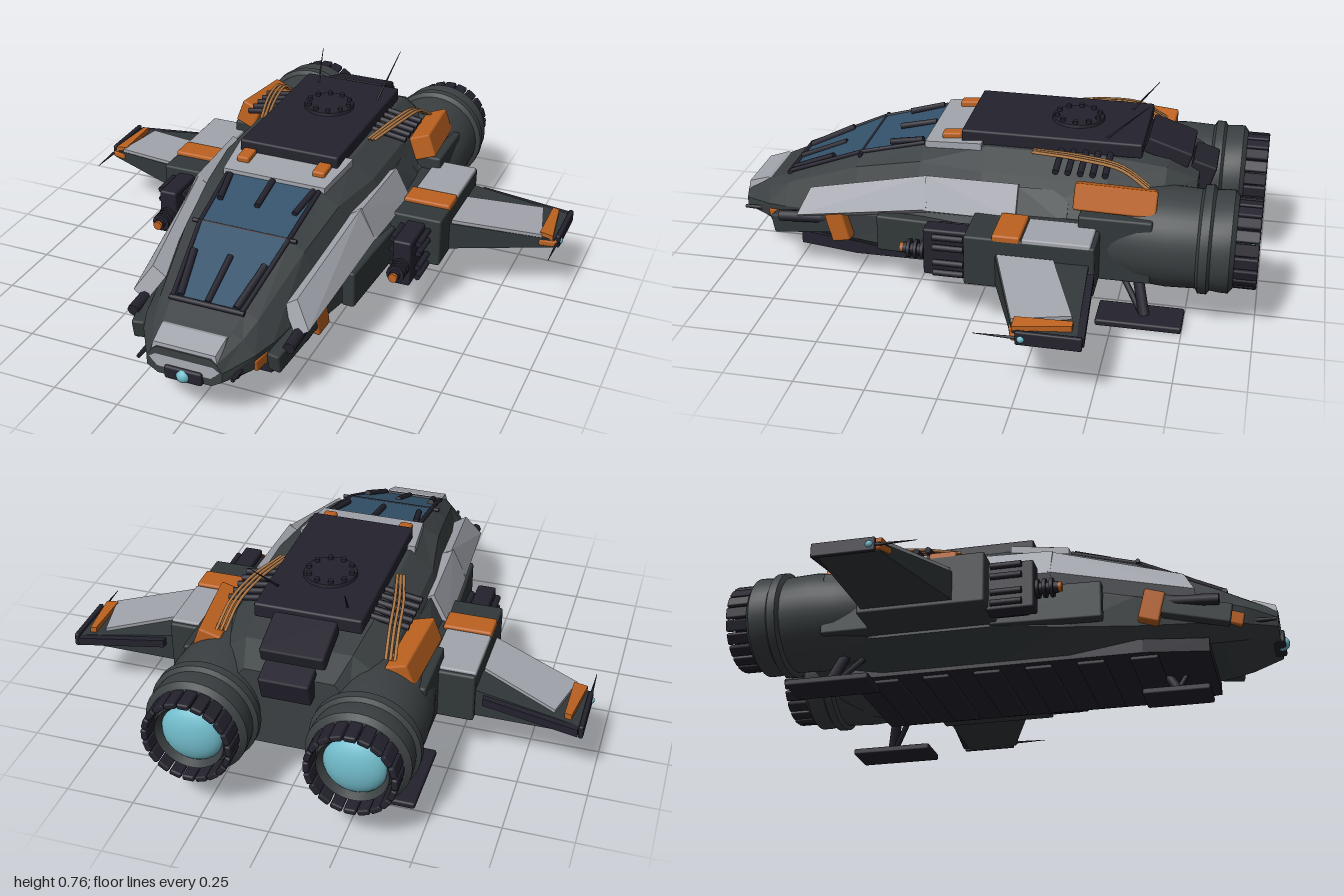
import * as THREE from 'three';
import { toCreasedNormals } from 'three/addons/utils/BufferGeometryUtils.js';
import { RoundedBoxGeometry } from 'three/addons/geometries/RoundedBoxGeometry.js';
import { ConvexGeometry } from 'three/addons/geometries/ConvexGeometry.js';

const mat = (name, color) => Object.assign(new THREE.MeshStandardMaterial({ color }), { name });
const V = (p) => new THREE.Vector3(...p);

export function createModel() {
  const root = new THREE.Group();
  root.name = 'spacecraft';
  const hullGrey = mat('hull grey', 0x3b4042);
  const wingGrey = mat('wing grey', 0x32383a);
  const black = mat('dark violet black', 0x24232e);
  const armour = mat('light armour', 0xa3a5ad);
  const orange = mat('orange', 0xbd6220);
  const glass = mat('canopy glass', 0x35536c);
  const cyan = mat('cyan glow', 0x72bccb);
  const tan = mat('tan cable', 0xb47d4a);

  const add = (name, geo, material) => {
    const m = new THREE.Mesh(geo, material);
    m.name = name;
    root.add(m);
    return m;
  };
  // chamfered box: size, position, rotation
  const box = (name, m, size, pos, rot = [0, 0, 0]) => {
    const o = add(name, new RoundedBoxGeometry(...size, 1, Math.min(0.008, Math.min(...size) * 0.3)), m);
    o.position.set(...pos);
    o.rotation.set(...rot);
    return o;
  };
  // solid spanned by a face and its offset copy
  const slab = (name, m, pts, off) =>
    add(name, new ConvexGeometry([...pts.map(V), ...pts.map((p) => V(p).add(V(off)))]), m);
  // rod between two points, optionally tapered
  const bar = (name, m, a, b, r, r2 = r, sides = 8) => {
    const d = V(b).sub(V(a));
    const o = add(name, new THREE.CylinderGeometry(r2, r, d.length(), sides), m);
    o.position.copy(V(a)).addScaledVector(d, 0.5);
    o.quaternion.setFromUnitVectors(new THREE.Vector3(0, 1, 0), d.normalize());
    return o;
  };

  // Fuselage: faceted sections, each listed from keel to roof as x, y pairs
  const sections = [
    [0.97, 0.10, 0.16, 0.14, 0.185, 0.14, 0.22, 0.12, 0.25, 0.10, 0.265],
    [0.86, 0.15, 0.14, 0.20, 0.18, 0.21, 0.24, 0.165, 0.29, 0.125, 0.31],
    [0.78, 0.17, 0.13, 0.23, 0.18, 0.24, 0.25, 0.185, 0.325, 0.135, 0.345],
    [0.49, 0.22, 0.11, 0.29, 0.17, 0.30, 0.28, 0.23, 0.44, 0.175, 0.47],
    [0.24, 0.25, 0.10, 0.34, 0.17, 0.345, 0.30, 0.26, 0.50, 0.19, 0.535],
    [0.0, 0.25, 0.10, 0.38, 0.18, 0.38, 0.32, 0.30, 0.50, 0.21, 0.56],
    [-0.45, 0.25, 0.10, 0.38, 0.18, 0.39, 0.32, 0.30, 0.50, 0.21, 0.56],
    [-0.65, 0.24, 0.13, 0.35, 0.20, 0.35, 0.32, 0.26, 0.48, 0.19, 0.53],
    [-0.76, 0.20, 0.18, 0.26, 0.24, 0.26, 0.32, 0.21, 0.42, 0.16, 0.48],
  ];
  const rings = sections.map(([z, ...c]) => {
    const half = [0, 1, 2, 3, 4].map((i) => [c[2 * i], c[2 * i + 1], z]);
    return [...half, ...half.map(([x, y]) => [-x, y, z]).reverse()];
  });
  const tri = [];
  for (let k = 0; k < rings.length - 1; k++) {
    for (let i = 0; i < 10; i++) {
      const j = (i + 1) % 10, A = rings[k], B = rings[k + 1];
      tri.push(...A[i], ...B[i], ...B[j], ...A[i], ...B[j], ...A[j]);
    }
  }
  const front = rings[0], back = rings[rings.length - 1];
  for (let i = 1; i < 9; i++) {
    tri.push(...front[0], ...front[i], ...front[i + 1], ...back[0], ...back[i + 1], ...back[i]);
  }
  const hull = new THREE.BufferGeometry();
  hull.setAttribute('position', new THREE.Float32BufferAttribute(tri, 3));
  hull.computeVertexNormals();
  add('fuselage', hull, hullGrey);

  // Belly plate with cross ribs
  slab('bellyPlate', black, [[-0.21, 0.085, 0.73], [0.21, 0.085, 0.73], [0.25, 0.085, 0.5], [0.25, 0.085, -0.58], [-0.25, 0.085, -0.58], [-0.25, 0.085, 0.5]], [0, 0.05, 0]);
  for (let i = 0; i < 6; i++) box('bellyRib', black, [0.44, 0.02, 0.1], [0, 0.082, 0.5 - i * 0.19]);

  // Canopy: two panes, frame bars and wipers
  slab('lowerPane', glass, [[-0.125, 0.348, 0.785], [0.125, 0.348, 0.785], [0.165, 0.478, 0.49], [-0.165, 0.478, 0.49]], [0, -0.009, -0.003]);
  slab('upperPane', glass, [[-0.165, 0.478, 0.485], [0.165, 0.478, 0.485], [0.175, 0.543, 0.24], [-0.175, 0.543, 0.24]], [0, -0.009, 0]);
  bar('canopySeam', black, [-0.2, 0.472, 0.488], [0.2, 0.472, 0.488], 0.008);
  bar('canopySill', black, [-0.14, 0.345, 0.79], [0.14, 0.345, 0.79], 0.01);
  bar('lowerWiper', black, [0, 0.352, 0.785], [0, 0.43, 0.6], 0.012);
  bar('upperWiper', black, [0, 0.515, 0.38], [0, 0.547, 0.24], 0.012);

  // Roof: collar, equipment slab, round hatch, rear flaps
  slab('roofCollar', armour, [[-0.2, 0.555, 0.235], [0.2, 0.555, 0.235], [0.225, 0.575, 0.02], [-0.225, 0.575, 0.02]], [0, -0.04, 0]);
  box('roofSlab', black, [0.39, 0.055, 0.66], [0, 0.583, -0.23]);
  bar('hatch', black, [0, 0.6, -0.3], [0, 0.622, -0.3], 0.1, 0.095, 24);
  for (let i = 0; i < 10; i++) {
    const a = (i * Math.PI) / 5;
    bar('hatchBolt', black, [0.08 * Math.cos(a), 0.61, -0.3 + 0.08 * Math.sin(a)], [0.08 * Math.cos(a), 0.634, -0.3 + 0.08 * Math.sin(a)], 0.01);
  }
  box('rearFlap', black, [0.23, 0.06, 0.17], [0, 0.55, -0.645], [-0.32, 0, 0]);
  box('tailBlock', black, [0.18, 0.1, 0.09], [0, 0.46, -0.765], [-0.3, 0, 0]);
  bar('antenna', black, [-0.12, 0.6, -0.48], [-0.14, 0.72, -0.58], 0.005, 0.001);
  bar('antenna', black, [0.15, 0.6, -0.42], [0.19, 0.76, -0.58], 0.005, 0.001);

  // Nose: armour cap, sensor housing and lamp
  slab('noseCap', armour, [[-0.1, 0.19, 0.975], [0.1, 0.19, 0.975], [0.13, 0.22, 0.97], [0.115, 0.28, 0.965], [0.12, 0.305, 0.89], [-0.12, 0.305, 0.89], [-0.115, 0.28, 0.965], [-0.13, 0.22, 0.97]], [0, -0.01, -0.05]);
  box('sensorHousing', black, [0.14, 0.05, 0.06], [0, 0.18, 0.955]);
  const lamp = add('noseLamp', new THREE.SphereGeometry(0.026, 16, 12), cyan);
  lamp.position.set(0, 0.178, 0.974);

  // Front landing leg
  box('frontFoot', black, [0.145, 0.025, 0.245], [0, 0.0125, 0.59]);
  bar('frontLeg', black, [0, 0.1, 0.55], [0, 0.02, 0.6], 0.018);
  bar('frontStrut', black, [0, 0.1, 0.63], [0, 0.02, 0.58], 0.01);

  // Engine profile as radius, distance aft
  const engineProfile = [[0.08, 0.32], [0.15, 0.45], [0.175, 0.58], [0.182, 0.68], [0.178, 0.785], [0.195, 0.795], [0.195, 0.825], [0.18, 0.835], [0.184, 0.87], [0.184, 0.9], [0.165, 0.915], [0.135, 0.92], [0.125, 0.965], [0.1, 0.92], [0, 0.92]];
  const engineGeo = toCreasedNormals(new THREE.LatheGeometry(engineProfile.map((p) => new THREE.Vector2(...p)), 40), 0.5);
  engineGeo.rotateX(-Math.PI / 2);

  for (const s of [1, -1]) {
    const P = (...pts) => pts.map(([x, y, z]) => [s * x, y, z]);
    const rod = (name, m, a, b, ...r) => bar(name, m, ...P(a, b), ...r);
    const block = (name, m, size, [x, y, z], [rx, ry, rz] = [0, 0, 0]) => box(name, m, size, [s * x, y, z], [rx, s * ry, s * rz]);

    // Engine with nozzle petals and glowing dome
    add('engine', engineGeo, hullGrey).position.set(s * 0.285, 0.31, 0);
    for (let i = 0; i < 20; i++) {
      const a = (i * Math.PI) / 10;
      box('nozzlePetal', black, [0.043, 0.022, 0.1], [s * 0.285 + 0.15 * Math.cos(a), 0.31 + 0.15 * Math.sin(a), -0.948], [0, 0, a - Math.PI / 2]);
    }
    const ring = add('nozzleRing', new THREE.CylinderGeometry(0.138, 0.138, 0.06, 32, 1, true), black);
    ring.rotation.x = Math.PI / 2;
    ring.position.set(s * 0.285, 0.31, -0.94);
    const dome = add('engineGlow', new THREE.SphereGeometry(0.112, 28, 16), cyan);
    dome.scale.z = 0.5;
    dome.position.set(s * 0.285, 0.31, -0.925);
    block('enginePylon', wingGrey, [0.1, 0.24, 0.26], [0.39, 0.31, -0.5]);

    // Side armour
    slab('frontSideArmour', armour, P([0.335, 0.27, 0.7], [0.275, 0.36, 0.66], [0.325, 0.48, 0.19], [0.385, 0.37, 0.19]), [s * -0.05, -0.035, 0]);
    slab('rearSideArmour', armour, P([0.385, 0.365, 0.2], [0.33, 0.48, 0.2], [0.34, 0.485, -0.14], [0.4, 0.37, -0.14]), [s * -0.05, -0.03, 0]);
    slab('shoulderWedge', hullGrey, P([0.385, 0.36, -0.14], [0.33, 0.47, -0.14], [0.31, 0.46, -0.32], [0.38, 0.36, -0.32]), [s * -0.05, -0.03, 0]);
    block('sideSkirt', wingGrey, [0.05, 0.14, 0.4], [0.36, 0.25, 0.18], [0, -0.05, 0]);
    block('roofPad', orange, [0.05, 0.025, 0.075], [0.15, 0.572, 0.14], [0.08, 0, 0]);
    block('rearPod', orange, [0.085, 0.095, 0.29], [0.36, 0.47, -0.49], [-0.06, 0.08, 0.35]);

    // Cheek equipment
    block('cheekBox', wingGrey, [0.05, 0.075, 0.26], [0.275, 0.215, 0.69], [0.18, -0.16, 0]);
    block('cheekBand', orange, [0.055, 0.12, 0.075], [0.3, 0.232, 0.545], [0.25, -0.16, 0]);
    block('cheekPad', orange, [0.03, 0.05, 0.07], [0.208, 0.2, 0.82], [0.2, -0.3, 0]);
    rod('noseProng', black, [0.175, 0.2, 0.86], [0.175, 0.2, 0.965], 0.01, 0.007);
    rod('cheekProbe', black, [0.295, 0.25, 0.6], [0.295, 0.24, 0.78], 0.022);

    // Canopy side rails and corner wipers
    rod('canopyRail', black, [0.13, 0.348, 0.79], [0.17, 0.474, 0.49], 0.009);
    rod('canopyRail', black, [0.17, 0.474, 0.49], [0.18, 0.54, 0.24], 0.009);
    rod('cornerWiper', black, [0.105, 0.352, 0.78], [0.135, 0.43, 0.61], 0.014);
    rod('cornerWiper', black, [0.145, 0.515, 0.38], [0.165, 0.545, 0.25], 0.012);

    // Roof pipes and cables
    for (let i = 0; i < 5; i++) rod('roofPipe', black, [0.18, 0.565, -0.27 - i * 0.044], [0.33, 0.54, -0.27 - i * 0.044], 0.012);
    for (let i = 0; i < 3; i++) {
      const c = P([0.29 + i * 0.016, 0.5, -0.6], [0.275 + i * 0.016, 0.56, -0.5], [0.25 + i * 0.016, 0.575, -0.35], [0.21 + i * 0.012, 0.565, -0.17]);
      add('cable', new THREE.TubeGeometry(new THREE.CatmullRomCurve3(c.map(V)), 20, 0.006, 6), tan);
    }

    // Wing root with top panels
    block('wingRoot', wingGrey, [0.21, 0.19, 0.46], [0.465, 0.285, -0.22]);
    block('rootArmour', armour, [0.165, 0.02, 0.24], [0.487, 0.38, -0.315]);
    block('rootBand', orange, [0.18, 0.03, 0.1], [0.48, 0.38, -0.14]);

    // Gun: mount, ribs and barrel
    block('gunMount', black, [0.07, 0.18, 0.17], [0.475, 0.27, 0.085]);
    for (const y of [0.2, 0.24, 0.3, 0.34]) rod('gunRail', black, [0.425, y, 0.02], [0.425, y, 0.13], 0.012);
    for (const y of [0.2, 0.24, 0.3, 0.34]) rod('gunRail', black, [0.525, y, 0.02], [0.525, y, 0.13], 0.012);
    rod('gunBarrel', black, [0.475, 0.26, 0], [0.475, 0.26, 0.25], 0.024, 0.02, 12);
    for (let i = 0; i < 3; i++) rod('gunCollar', black, [0.475, 0.26, 0.172 + i * 0.025], [0.475, 0.26, 0.184 + i * 0.025], 0.034, 0.034, 12);
    rod('gunMuzzle', orange, [0.475, 0.26, 0.245], [0.475, 0.26, 0.262], 0.017, 0.017, 12);

    // Wing, tapering outward and drooping
    add('wing', new ConvexGeometry(P(
      [0.56, 0.315, -0.1], [0.56, 0.315, -0.43], [0.56, 0.205, -0.1], [0.56, 0.205, -0.43],
      [0.94, 0.255, -0.24], [0.94, 0.255, -0.45], [0.94, 0.222, -0.24], [0.94, 0.222, -0.45]).map(V)), wingGrey);
    slab('wingArmour', armour, P([0.575, 0.326, -0.11], [0.575, 0.326, -0.31], [0.85, 0.282, -0.42], [0.895, 0.275, -0.225]), [0, -0.02, 0]);
    slab('trailingFlap', black, P([0.6, 0.3, -0.42], [0.6, 0.3, -0.455], [0.94, 0.255, -0.475], [0.94, 0.255, -0.435]), [0, -0.03, 0]);
    slab('tipBand', orange, P([0.885, 0.285, -0.43], [0.91, 0.28, -0.43], [0.935, 0.272, -0.235], [0.885, 0.28, -0.235]), [0, -0.035, 0]);
    block('tipFlash', orange, [0.07, 0.025, 0.03], [0.915, 0.24, -0.24], [0, 0.3, -0.1]);
    block('tipRail', black, [0.018, 0.05, 0.22], [0.95, 0.242, -0.36]);
    rod('tipNeedle', black, [0.95, 0.24, -0.26], [0.95, 0.24, -0.11], 0.006, 0.001);
    add('tipLamp', new THREE.SphereGeometry(0.014, 12, 8), cyan).position.set(s * 0.953, 0.24, -0.27);

    // Rear landing leg
    block('rearFoot', black, [0.145, 0.025, 0.31], [0.37, 0.0125, -0.595]);
    rod('rearLeg', black, [0.3, 0.17, -0.57], [0.37, 0.02, -0.61], 0.02);
    rod('rearStrut', black, [0.28, 0.16, -0.5], [0.36, 0.02, -0.6], 0.011);
  }
  return root;
}
